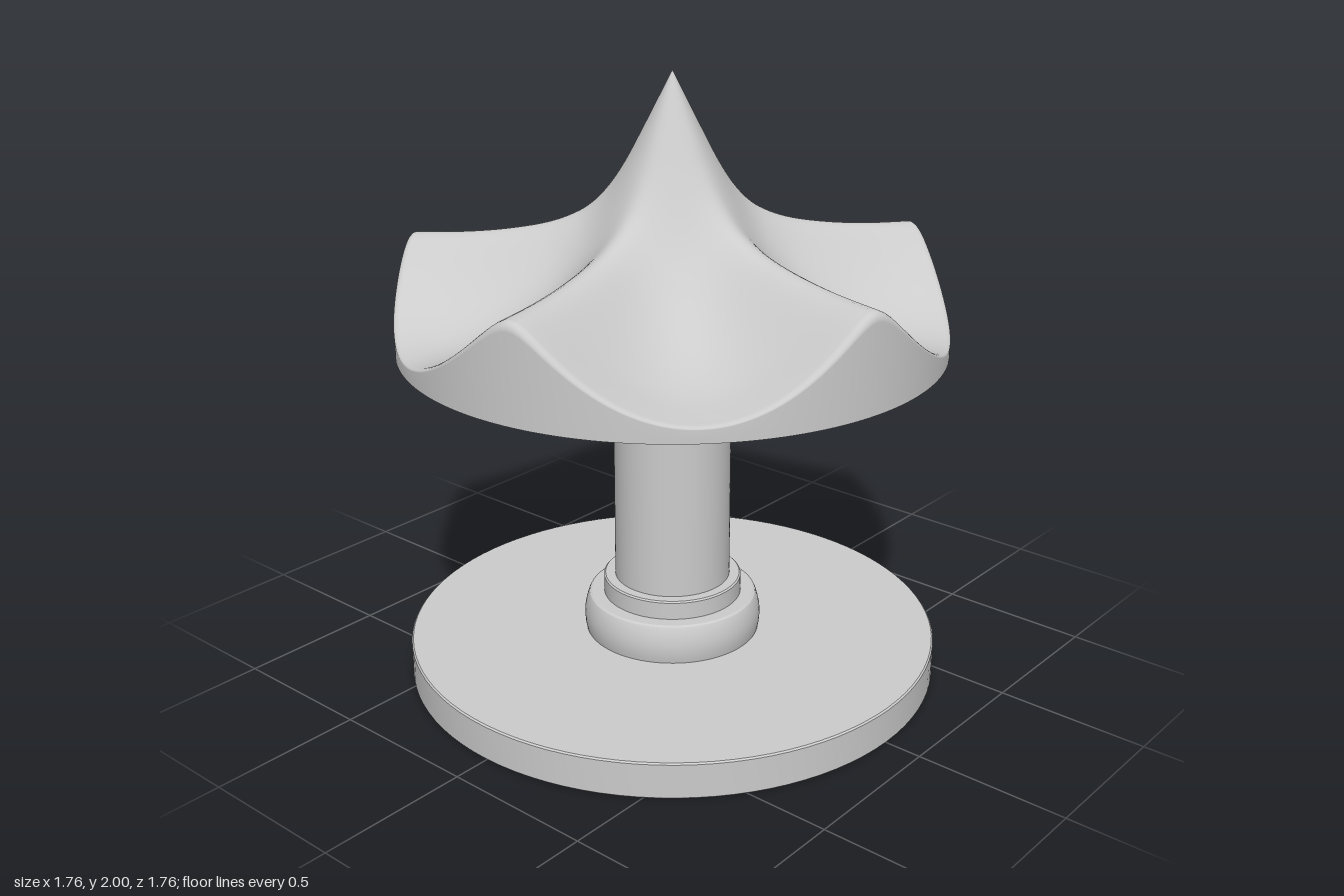
import * as THREE from 'three';
import { toCreasedNormals } from 'three/addons/utils/BufferGeometryUtils.js';

const material = new THREE.MeshStandardMaterial({ color: 0xcccccc });
const RIM = 0.88, UNDERSIDE = 1.13, FOLDS = 5, FIRST_RIDGE = THREE.MathUtils.degToRad(26.7);

function addMesh(parent, name, geometry, y = 0) {
  const mesh = new THREE.Mesh(geometry, material);
  mesh.name = name;
  mesh.position.y = y;
  parent.add(mesh);
}

// Turned solid from [radius, height] pairs
function turned(points) {
  const lathe = new THREE.LatheGeometry(points.map(([r, y]) => new THREE.Vector2(r, y)), 96);
  return toCreasedNormals(lathe, 0.5);
}

// Ridge weight: 1 on a fold line, 0 in the middle of a hollow; softer towards the spire
function ridgeWeight(angle, radius) {
  const step = (2 * Math.PI) / FOLDS;
  const turn = (angle - FIRST_RIDGE) / step;
  const t = 2 * Math.abs(turn - Math.round(turn));
  const soft = 0.12 + 0.5 * (1 - radius / RIM) ** 2;
  const s = Math.hypot(t, soft), end = Math.hypot(1, soft);
  return ((end - s) / (end - soft)) ** 2;
}

// Canopy: radial rows blended between a ridge profile and a hollow profile
function canopyGeometry() {
  // x = radius, y = ridge height, z = hollow height
  const curve = new THREE.CatmullRomCurve3([
    [0, 2, 2], [0.05, 1.902, 1.9], [0.1, 1.805, 1.797], [0.15, 1.712, 1.697],
    [0.2, 1.637, 1.604], [0.25, 1.582, 1.523], [0.3, 1.545, 1.457], [0.4, 1.502, 1.355],
    [0.55, 1.469, 1.257], [0.7, 1.45, 1.203], [RIM - 0.025, 1.44, 1.18],
  ].map(p => new THREE.Vector3(...p)));
  const rows = curve.getPoints(50);
  const last = rows[rows.length - 1];
  // rounded lip
  for (let i = 1; i <= 5; i++) {
    const a = (i / 5) * Math.PI / 2;
    const drop = 1 - Math.cos(a);
    rows.push(new THREE.Vector3(RIM - 0.025 + 0.025 * Math.sin(a), last.y - 0.03 * drop, last.z - 0.01 * drop));
  }
  // vertical rim wall
  for (const y of [1.148, UNDERSIDE]) rows.push(new THREE.Vector3(RIM, y, y));

  const segments = 240, positions = [], index = [];
  rows.forEach((row, j) => {
    for (let i = 0; i < segments; i++) {
      const angle = (i / segments) * 2 * Math.PI + FIRST_RIDGE;
      const y = THREE.MathUtils.lerp(row.z, row.y, ridgeWeight(angle, row.x));
      positions.push(row.x * Math.cos(angle), y, row.x * Math.sin(angle));
      if (j === 0) continue;
      const next = (i + 1) % segments;
      const a = (j - 1) * segments + i, b = (j - 1) * segments + next;
      const c = j * segments + i, d = j * segments + next;
      if (j > 1) index.push(a, b, c);
      index.push(b, d, c);
    }
  });
  const geometry = new THREE.BufferGeometry();
  geometry.setAttribute('position', new THREE.Float32BufferAttribute(positions, 3));
  geometry.setIndex(index);
  geometry.computeVertexNormals();
  return geometry;
}

export function createModel() {
  const model = new THREE.Group();
  model.name = 'pedestalWithFoldedCanopy';

  // Base plate with a slightly eased edge
  addMesh(model, 'basePlate', turned([
    [0, 0], [RIM - 0.005, 0], [RIM, 0.005], [RIM, 0.117], [RIM - 0.005, 0.122], [0, 0.122],
  ]));

  // Shaft
  addMesh(model, 'shaft', new THREE.CylinderGeometry(0.192, 0.192, 0.64, 96), 0.63);

  // Matching mouldings at the foot and the head of the shaft
  const moulding = [
    [0, 0], [0.29, 0], [0.294, 0.02], [0.296, 0.045], [0.295, 0.07], [0.29, 0.095],
    [0.283, 0.118], [0.279, 0.126], [0.272, 0.13], [0.23, 0.13],
    [0.23, 0.188], [0.225, 0.193], [0, 0.193],
  ];
  addMesh(model, 'footMoulding', turned(moulding.map(([r, y]) => [r, y + 0.12])));
  addMesh(model, 'headMoulding', turned(moulding.map(([r, y]) => [r, UNDERSIDE + 0.002 - y]).reverse()));

  // Folded canopy with a flat underside
  const canopy = new THREE.Group();
  canopy.name = 'canopy';
  addMesh(canopy, 'canopyTop', canopyGeometry());
  addMesh(canopy, 'canopyUnderside', new THREE.CircleGeometry(RIM, 240).rotateX(Math.PI / 2), UNDERSIDE);
  model.add(canopy);

  return model;
}
